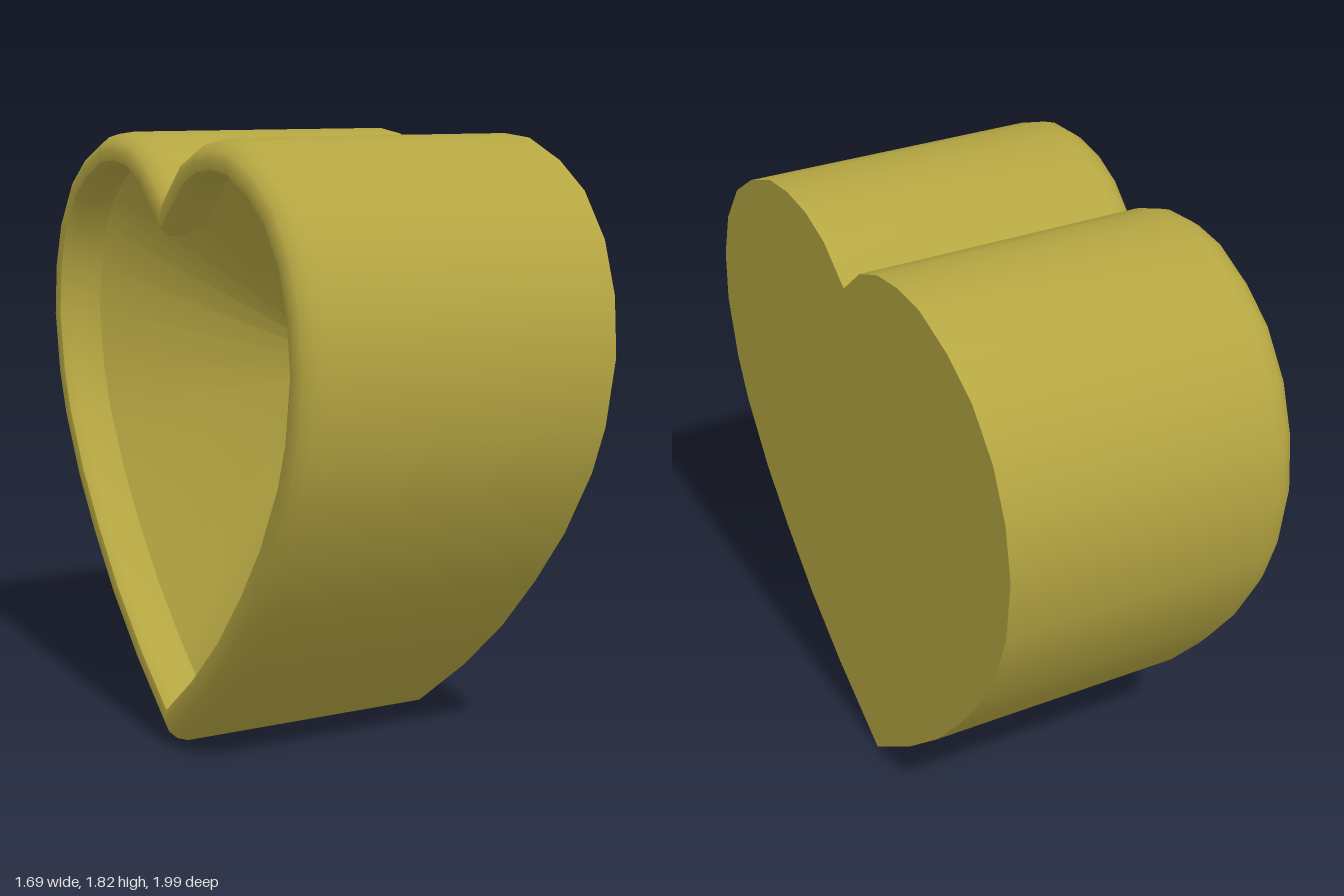
import * as THREE from 'three';
import { toCreasedNormals } from 'three/addons/utils/BufferGeometryUtils.js';

// Right half of the heart, from the bottom tip up to the cleft
const HALF = [
  [0, 0], [0.24, 0.18], [0.427, 0.348], [0.58, 0.52], [0.705, 0.685], [0.816, 0.88],
  [0.866, 1.02], [0.897, 1.22], [0.878, 1.39], [0.823, 1.54], [0.724, 1.67], [0.606, 1.75],
  [0.458, 1.81], [0.338, 1.82], [0.22, 1.805], [0.11, 1.76], [0, 1.665],
].map(([x, y]) => new THREE.Vector2(x, y));

// Full counter-clockwise outline, mirrored across the centre line
const OUTLINE = [
  ...HALF,
  ...HALF.slice(1, -1).reverse().map((p) => new THREE.Vector2(-p.x, p.y)),
];
const COUNT = OUTLINE.length;

// Outline moved inwards by a constant distance, with mitred corners
function inset(distance) {
  return OUTLINE.map((p, i) => {
    const before = p.clone().sub(OUTLINE[(i + COUNT - 1) % COUNT]).normalize();
    const after = OUTLINE[(i + 1) % COUNT].clone().sub(p).normalize();
    const n1 = new THREE.Vector2(-before.y, before.x);
    const n2 = new THREE.Vector2(-after.y, after.x);
    const miter = n1.clone().add(n2).normalize();
    return p.clone().addScaledVector(miter, distance / miter.dot(n1));
  });
}

const backDepth = (p) => -0.4 - 0.03 * p.y - 0.03 * p.x; // slightly slanted back
const ring = (distance, depth) =>
  inset(distance).map((p) => [p.x, p.y, typeof depth === 'function' ? depth(p) : depth + 0.02 * p.x]);

// Skin through successive rings
function loft(rings) {
  const index = [];
  for (let r = 0; r < rings.length - 1; r++) {
    for (let j = 0; j < COUNT; j++) {
      const k = (j + 1) % COUNT;
      const a = r * COUNT, b = a + COUNT;
      index.push(a + j, a + k, b + k, a + j, b + k, b + j);
    }
  }
  return build(rings.flat(), index);
}

// Triangles from a ring to one centre point
function fan(points, centre, facesFront) {
  const index = [];
  for (let j = 0; j < COUNT; j++) {
    const k = (j + 1) % COUNT;
    index.push(...(facesFront ? [j, k, COUNT] : [k, j, COUNT]));
  }
  return build([...points, centre], index);
}

function build(points, index) {
  const geometry = new THREE.BufferGeometry();
  geometry.setAttribute('position', new THREE.Float32BufferAttribute(points.flat(), 3));
  geometry.setIndex(index);
  return toCreasedNormals(geometry, 0.75);
}

export function createModel() {
  const model = new THREE.Group();
  const material = new THREE.MeshStandardMaterial({ color: 0xb5a642 });
  const heart = new THREE.Group();
  heart.name = 'heartBox';

  const add = (name, geometry) => {
    const mesh = new THREE.Mesh(geometry, material);
    mesh.name = name;
    heart.add(mesh);
  };

  // Outer wall running into the rounded rim and its inner lip
  const lip = ring(0.085, 0.36);
  add('wallAndRim', loft([
    ring(0, backDepth), ring(0, 0.43), ring(0.01, 0.465), ring(0.03, 0.492),
    ring(0.055, 0.505), ring(0.085, 0.5), ring(0.104, 0.47), ring(0.1, 0.42), lip,
  ]));

  // Hollow tapering to a point inside
  add('hollow', fan(lip, [0, 1.1, -0.17], true));

  // Flat back
  const centre = new THREE.Vector2(0, 1.1);
  add('back', fan(ring(0, backDepth), [0, 1.1, backDepth(centre)], false));

  heart.rotation.y = -Math.PI / 3;
  heart.position.set(-0.005, 0, -0.01);
  model.add(heart);
  return model;
}
